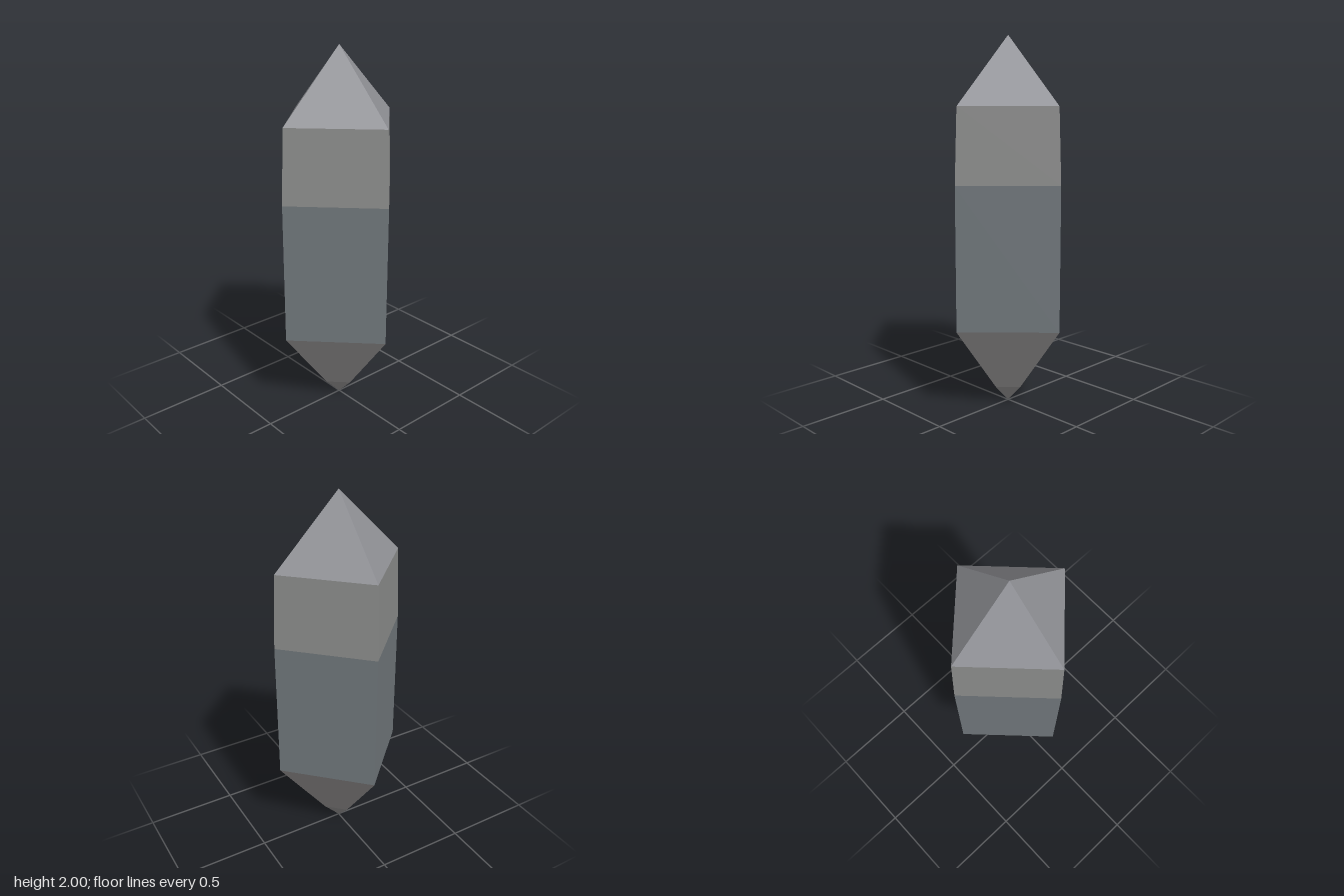
import * as THREE from 'three';

export function createModel() {
  const model = new THREE.Group();
  model.name = 'crystal';

  // Four-sided section from a [radius, height] profile, listed bottom to top
  const addSection = (name, color, profile) => {
    const points = profile.map(([r, y]) => new THREE.Vector2(r, y));
    const material = new THREE.MeshStandardMaterial({ color, flatShading: true });
    const mesh = new THREE.Mesh(new THREE.LatheGeometry(points, 4), material);
    mesh.name = name;
    model.add(mesh);
  };

  // Lower point with a blunter tip
  addSection('lowerPoint', 0x8c8a8a, [[0, 0], [0.095, 0.1], [0.377, 0.477]]);
  // Long straight body, slightly bluish
  addSection('lowerBody', 0x70777b, [[0.377, 0.477], [0.377, 1.24]]);
  // Upper body, narrowing slightly
  addSection('upperBody', 0x8b8c8b, [[0.377, 1.24], [0.36, 1.635]]);
  // Upper point
  addSection('upperPoint', 0x8e8f94, [[0.36, 1.635], [0, 2]]);

  return model;
}
